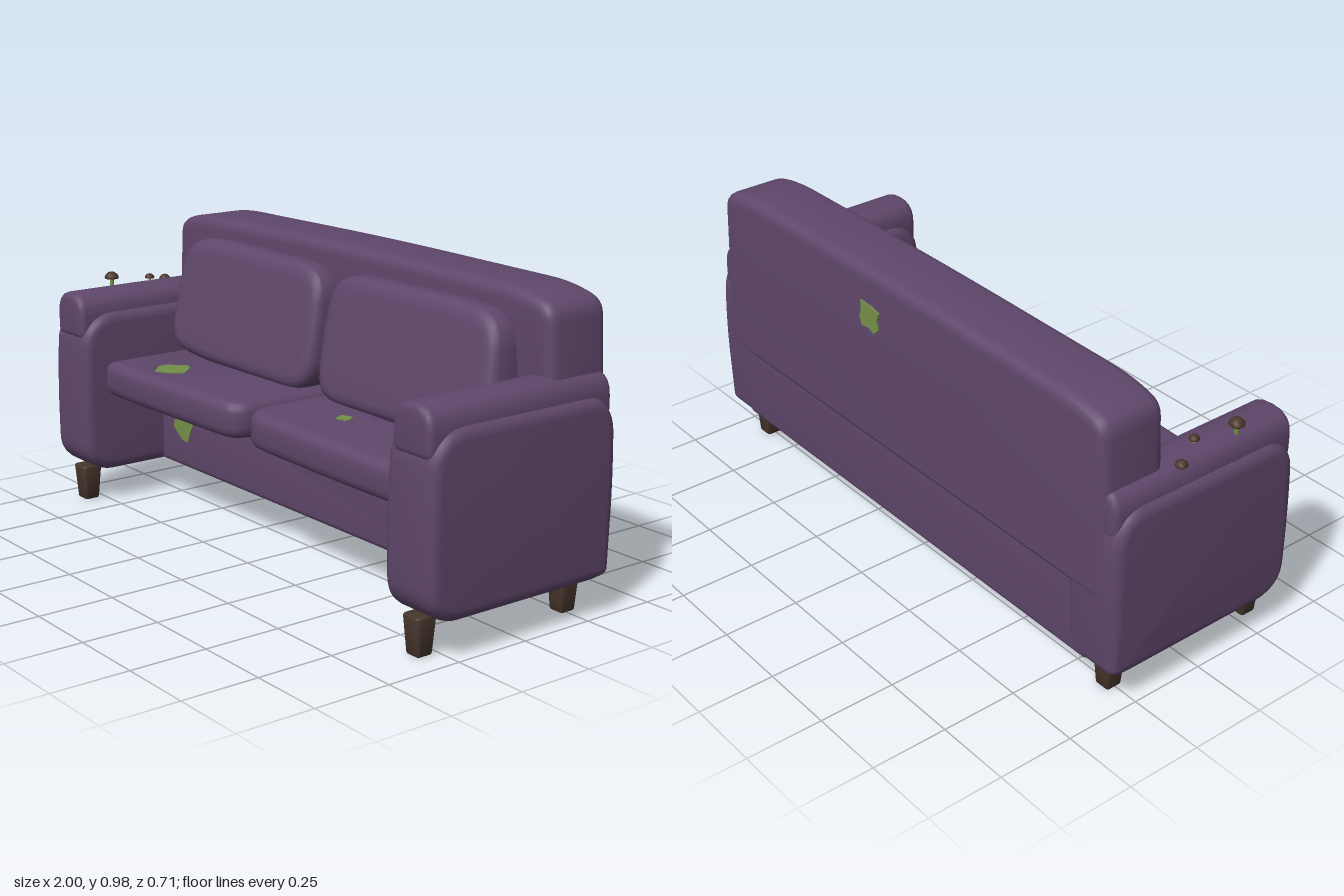
import * as THREE from 'three';
import { toCreasedNormals } from 'three/addons/utils/BufferGeometryUtils.js';

const mat = (name, color) => {
  const m = new THREE.MeshStandardMaterial({ color });
  m.name = name;
  return m;
};

// Closed outline of [x, y, cornerRadius] points with rounded corners
function outline(pts) {
  const shape = new THREE.Shape();
  pts.forEach(([x, y, r = 0], i) => {
    const c = new THREE.Vector2(x, y);
    const toward = (p) => {
      const d = new THREE.Vector2(p[0], p[1]).sub(c);
      return c.clone().add(d.setLength(Math.min(r, d.length() * 0.49)));
    };
    const a = toward(pts[(i + pts.length - 1) % pts.length]);
    const b = toward(pts[(i + 1) % pts.length]);
    if (i) shape.lineTo(a.x, a.y); else shape.moveTo(a.x, a.y);
    if (r) shape.quadraticCurveTo(x, y, b.x, b.y);
  });
  shape.closePath();
  return shape;
}

// Padded slab: outline extruded from z0 to z1 with soft edges
function slab(pts, z0, z1, bevel) {
  const g = new THREE.ExtrudeGeometry(outline(pts), {
    depth: z1 - z0 - 2 * bevel, curveSegments: 5,
    bevelThickness: bevel, bevelSize: bevel, bevelOffset: -bevel, bevelSegments: 4,
  });
  return g.translate(0, 0, z0 + bevel);
}

// Irregular flat patch facing +z
function patchGeometry(rx, ry, seed) {
  const pts = [];
  for (let i = 0; i < 11; i++) {
    const a = (i / 11) * Math.PI * 2;
    const k = 0.92 + 0.16 * Math.sin(i * 2.3 + seed) + 0.05 * Math.sin(i * 4.1 + seed * 2);
    pts.push(new THREE.Vector2(Math.cos(a) * rx * k, Math.sin(a) * ry * k));
  }
  return new THREE.ExtrudeGeometry(new THREE.Shape(pts), { depth: 0.008, bevelEnabled: false });
}

export function createModel() {
  const fabric = mat('purple fabric', 0x5f476b);
  const wood = mat('dark wood', 0x46362c);
  const moss = mat('moss green', 0x758f48);
  const capBrown = mat('mushroom brown', 0x4b352b);
  const model = new THREE.Group();
  model.name = 'mossySofa';

  const add = (name, geo, material, parent = model) => {
    const mesh = new THREE.Mesh(geo, material);
    mesh.name = name;
    parent.add(mesh);
    return mesh;
  };
  const soft = (name, geo) => add(name, toCreasedNormals(geo, 0.7), fabric);

  // Base and backrest
  soft('base', slab([[-0.88, 0.115, 0.02], [0.88, 0.115, 0.02], [0.88, 0.42, 0.02], [-0.88, 0.42, 0.02]], -0.34, 0.045, 0.02));
  soft('backrest', slab([
    [-0.95, 0.36, 0.03], [0.95, 0.36, 0.03], [0.945, 0.66, 0.05], [0.93, 0.935, 0.05],
    [0.8, 0.968, 0.08], [0, 0.977, 0.3], [-0.8, 0.968, 0.08], [-0.93, 0.935, 0.05], [-0.945, 0.66, 0.05],
  ], -0.352, -0.125, 0.035));

  for (const s of [1, -1]) {
    const side = s > 0 ? 'left' : 'right';

    // Arm block, profile drawn in z and y then turned across x
    const arm = slab([
      [0.29, 0.113, 0.05], [0.355, 0.17, 0.05], [0.357, 0.4, 0.1], [0.347, 0.605, 0.05], [0.28, 0.668, 0.05],
      [-0.29, 0.668, 0.05], [-0.343, 0.6, 0.05], [-0.35, 0.4, 0.1], [-0.34, 0.125, 0.02], [-0.3, 0.113, 0.03],
    ], -0.104, 0.104, 0.035);
    soft(side + 'Arm', arm.rotateY(-Math.PI / 2).translate(s * 0.895, 0, 0));

    // Rounded roll on top of the arm
    soft(side + 'ArmRoll', slab([
      [s * 0.815, 0.58, 0.03], [s * 0.978, 0.58, 0.03], [s * 0.978, 0.734, 0.08], [s * 0.815, 0.734, 0.08],
    ], -0.338, 0.349, 0.022));

    // Seat cushion, outline in x and z
    const seat = slab([
      [s * 0.015, -0.14, 0.03], [s * 0.8, -0.14, 0.03], [s * 0.8, 0.276, 0.03], [s * 0.5, 0.285, 0.1], [s * 0.02, 0.285, 0.09],
    ], -0.06, 0.06, 0.035);
    seat.rotateX(Math.PI / 2).translate(0, 0.455, 0);
    const sp = seat.attributes.position;
    for (let i = 0; i < sp.count; i++) {
      sp.setY(i, sp.getY(i) - 0.012 * Math.abs(sp.getX(i)) / 0.8); // slight sag to the outside
    }
    soft(side + 'SeatCushion', seat);

    // Back cushion, thinner and leaning back toward the top
    const back = slab([
      [s * 0.025, 0.5, 0.11], [s * 0.6, 0.5, 0.1], [s * 0.81, 0.52, 0.12], [s * 0.81, 0.7, 0.1],
      [s * 0.785, 0.9, 0.12], [s * 0.5, 0.907, 0.1], [s * 0.03, 0.9, 0.12], [s * 0.012, 0.7, 0.1],
    ], -0.16, 0.02, 0.045);
    const bp = back.attributes.position;
    for (let i = 0; i < bp.count; i++) {
      const t = (bp.getY(i) - 0.5) / 0.4;
      bp.setZ(i, -0.16 + (bp.getZ(i) + 0.16) * (1 - 0.43 * t));
    }
    soft(side + 'BackCushion', back);

    // Tapered legs
    for (const z of [0.299, -0.255]) {
      const leg = slab([[-0.036, -0.036, 0.014], [0.036, -0.036, 0.014], [0.036, 0.036, 0.014], [-0.036, 0.036, 0.014]], 0, 0.122, 0.008);
      leg.rotateX(-Math.PI / 2);
      const p = leg.attributes.position;
      for (let i = 0; i < p.count; i++) {
        const k = 0.76 + 0.24 * Math.min(1, p.getY(i) / 0.11);
        p.setX(i, p.getX(i) * k);
        p.setZ(i, p.getZ(i) * k);
      }
      leg.translate(s * 0.888, 0, z);
      add(side + (z > 0 ? 'Front' : 'Back') + 'Leg', toCreasedNormals(leg, 0.5), wood);
    }
  }

  // Moss patches: position, half sizes, turn
  const patches = [
    ['baseMoss', [-0.66, 0.273, 0.041], 0.06, 0.066, [0, 0, 0]],
    ['seatMossLarge', [-0.547, 0.502, 0.16], 0.066, 0.064, [-Math.PI / 2, -0.014, 0]],
    ['seatMossSmall', [0.29, 0.506, 0.092], 0.028, 0.026, [-Math.PI / 2, 0.014, 0]],
    ['backMoss', [0.115, 0.82, -0.349], 0.055, 0.052, [0, Math.PI, 0]],
    ['armMoss', [0.945, 0.712, 0.085], 0.012, 0.016, [-Math.PI / 2, 0.6, 0]],
  ];
  patches.forEach(([name, pos, rx, ry, rot], i) => {
    const m = add(name, patchGeometry(rx, ry, i * 1.7), moss);
    m.position.set(...pos);
    m.rotation.set(...rot);
  });

  // Mushrooms: stem with a domed cap
  const capProfile = [[0, 0.2], [0.9, -0.1], [1, 0.05], [0.85, 0.45], [0.5, 0.75], [0, 0.9]]
    .map(([x, y]) => new THREE.Vector2(x, y));
  const mushroom = (name, x, y, z, height, radius, tilt = 0) => {
    const g = new THREE.Group();
    g.name = name;
    add('stem', new THREE.CylinderGeometry(radius * 0.25, radius * 0.36, height, 7).translate(0, height / 2, 0), moss, g);
    const cap = add('cap', new THREE.LatheGeometry(capProfile, 10).scale(radius, radius, radius), capBrown, g);
    cap.position.y = height - radius * 0.2;
    g.position.set(x, y, z);
    g.rotation.x = tilt;
    model.add(g);
  };
  mushroom('armMushroomLarge', -0.94, 0.7, 0.15, 0.06, 0.025);
  mushroom('armMushroomMedium', -0.908, 0.722, 0.015, 0.026, 0.017);
  mushroom('armMushroomSmall', -0.958, 0.695, -0.08, 0.03, 0.02);
  mushroom('seatMushroom', 0.67, 0.405, 0.09, 0.038, 0.045, Math.PI);

  return model;
}
